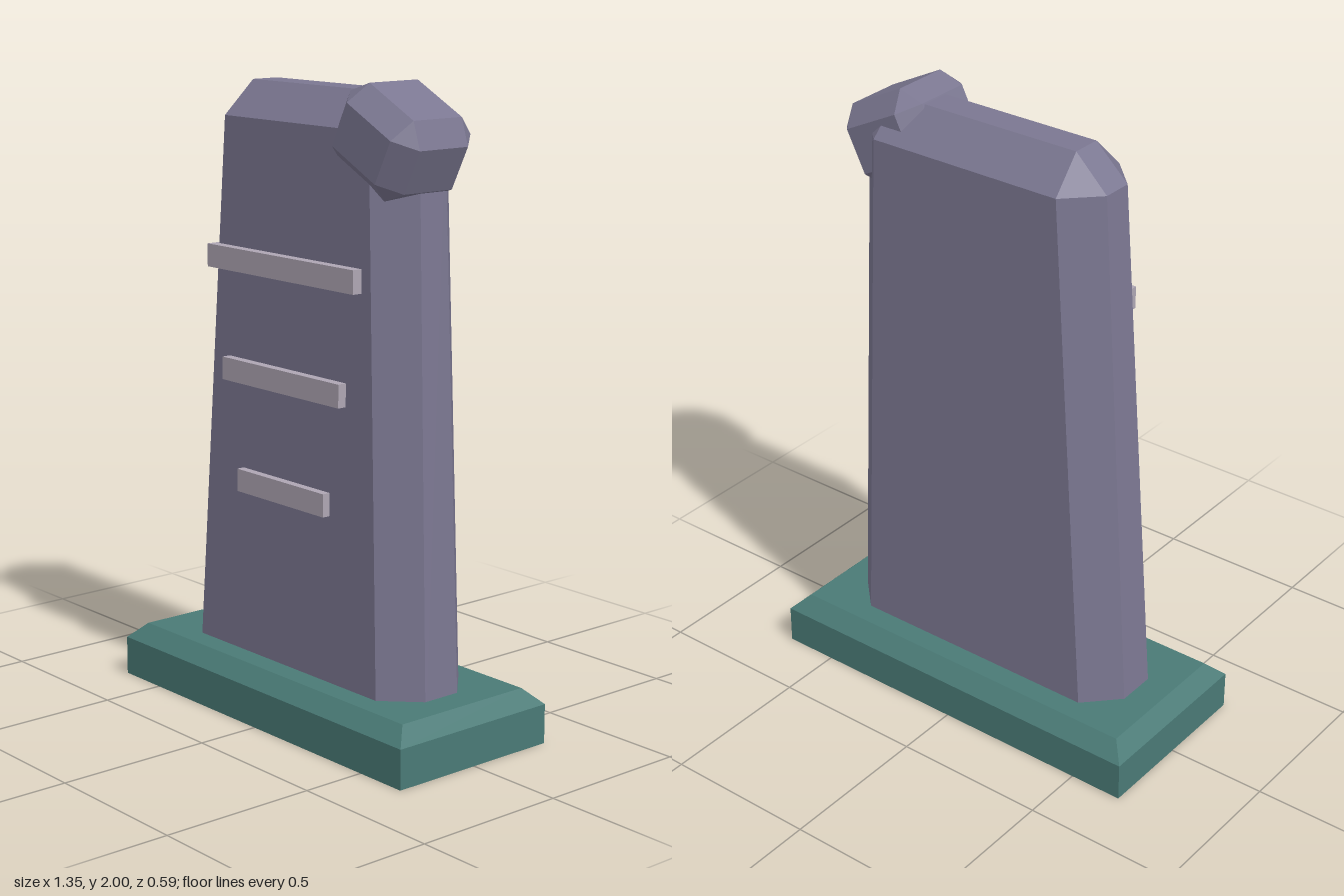
import * as THREE from 'three';
import { ConvexGeometry } from 'three/addons/geometries/ConvexGeometry.js';

// Skin between counter-clockwise (seen from above) rings, listed bottom to top, with a closed top.
function loft(rings) {
  const pos = [];
  const tri = (a, b, c) => pos.push(...a, ...b, ...c);
  for (let r = 0; r + 1 < rings.length; r++) {
    const lo = rings[r], hi = rings[r + 1], n = lo.length;
    for (let i = 0; i < n; i++) {
      const j = (i + 1) % n;
      tri(lo[i], lo[j], hi[j]);
      tri(lo[i], hi[j], hi[i]);
    }
  }
  const top = rings[rings.length - 1];
  for (let i = 1; i + 1 < top.length; i++) tri(top[0], top[i], top[i + 1]);
  const g = new THREE.BufferGeometry();
  g.setAttribute('position', new THREE.Float32BufferAttribute(pos, 3));
  g.computeVertexNormals();
  return g;
}

// Rectangle ring
const rect = (x, z, y) => [[-x, y, z], [x, y, z], [x, y, -z], [-x, y, -z]];

// Eight-sided ring: outer ends l and r, inner flat ends li and ri, half depth z, half end width zi
const octagon = (y, l, li, ri, r, z, zi) => [
  [li, y, z], [ri, y, z], [r, y, zi], [r, y, -zi],
  [ri, y, -z], [li, y, -z], [l, y, -zi], [l, y, zi],
];

// Box with every edge and corner cut
function chamferBox(hx, hy, hz, c) {
  const pts = [];
  for (const sx of [-1, 1]) for (const sy of [-1, 1]) for (const sz of [-1, 1]) {
    pts.push(new THREE.Vector3(sx * hx, sy * (hy - c), sz * (hz - c)));
    pts.push(new THREE.Vector3(sx * (hx - c), sy * hy, sz * (hz - c)));
    pts.push(new THREE.Vector3(sx * (hx - c), sy * (hy - c), sz * hz));
  }
  return new ConvexGeometry(pts);
}

export function createModel() {
  const group = new THREE.Group();
  const material = (name, color) => {
    const m = new THREE.MeshStandardMaterial({ color });
    m.name = name;
    m.flatShading = true;
    m.side = THREE.DoubleSide;
    return m;
  };
  const stone = material('stone', 0x7b7791);
  const green = material('green base', 0x4a7a76);
  const pale = material('pale bar', 0xaea6b3);

  const add = (name, geometry, mat) => {
    const mesh = new THREE.Mesh(geometry, mat);
    mesh.name = name;
    group.add(mesh);
    return mesh;
  };

  // Hollow plinth with a chamfered top edge
  add('base', loft([rect(0.675, 0.295, 0), rect(0.675, 0.295, 0.125), rect(0.625, 0.243, 0.175)]), green);

  // Tapered slab, open below, with a bevelled top
  add('slab', loft([
    octagon(0.06, -0.538, -0.436, 0.429, 0.534, 0.171, 0.066),
    octagon(1.865, -0.405, -0.303, 0.365, 0.468, 0.153, 0.05),
    octagon(1.97, -0.295, -0.295, 0.36, 0.36, 0.048, 0.048),
  ]), stone);

  // Tilted knob on the upper corner
  const knob = add('cornerKnob', chamferBox(0.167, 0.134, 0.155, 0.062), stone);
  knob.position.set(0.372, 1.834, 0.035);
  knob.rotation.z = -0.47;

  // Three raised bars on the front, shorter towards the bottom
  [[1.43, 0.69, -0.005], [1.082, 0.555, -0.002], [0.735, 0.415, -0.002]].forEach(([y, w, x], i) => {
    const bar = add('frontBar' + (i + 1), new THREE.BoxGeometry(w, 0.072, 0.05), pale);
    bar.position.set(x, y, 0.165);
  });

  return group;
}
